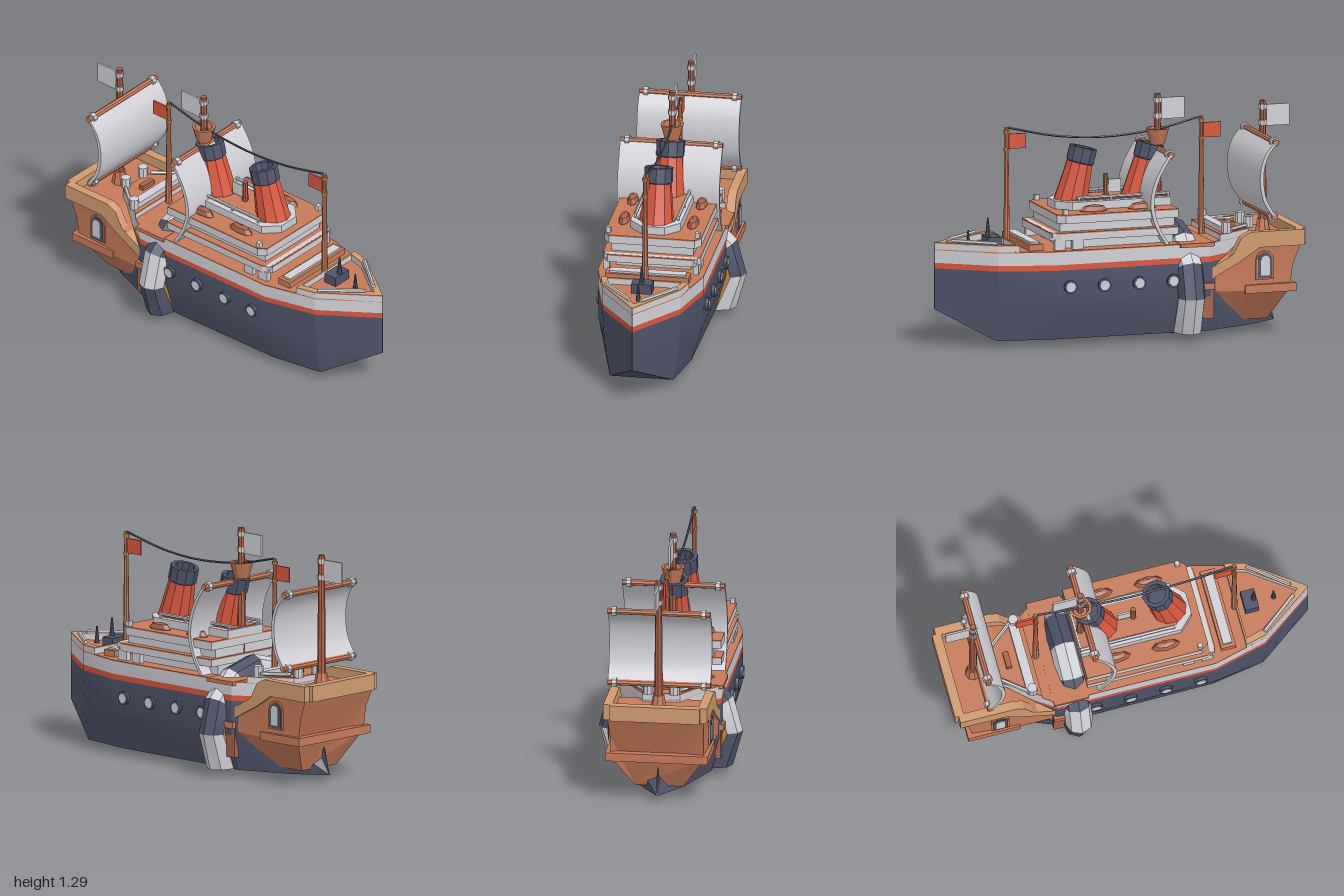
import * as THREE from 'three';
import { toCreasedNormals } from 'three/addons/utils/BufferGeometryUtils.js';

const paint = (name, color) => Object.assign(new THREE.MeshStandardMaterial({ color }), { name });

export function createModel() {
  const model = new THREE.Group();
  model.name = 'ship';
  const navy = paint('navy', 0x50546a), red = paint('red', 0xd8573f), grey = paint('light grey', 0xd0d0d6);
  const brown = paint('deck brown', 0xc67a5a), tan = paint('tan', 0xd09b70), wood = paint('mast brown', 0xa8624a);
  const gold = paint('gold', 0xd6913a);

  // Adds a flat-shaded (or creased) mesh
  function add(name, geo, mat, x = 0, y = 0, z = 0, crease = 0.3) {
    const mesh = new THREE.Mesh(toCreasedNormals(geo, crease), mat);
    mesh.name = name;
    mesh.position.set(x, y, z);
    model.add(mesh);
    return mesh;
  }
  // Box from its size and centre
  const box = (name, mat, w, h, d, x, y, z) => add(name, new THREE.BoxGeometry(w, h, d), mat, x, y, z);
  // Upright post standing on y0
  const post = (name, mat, r0, r1, y0, y1, x, z, sides = 8) =>
    add(name, new THREE.CylinderGeometry(r1, r0, y1 - y0, sides), mat, x, (y0 + y1) / 2, z);
  // Round bar between two points
  function bar(name, mat, a, b, r, sides = 8) {
    const p = new THREE.Vector3(...a), q = new THREE.Vector3(...b), dir = q.clone().sub(p);
    const m = add(name, new THREE.CylinderGeometry(r, r, dir.length(), sides), mat);
    m.position.copy(p).lerp(q, 0.5);
    m.quaternion.setFromUnitVectors(new THREE.Vector3(0, 1, 0), dir.normalize());
    return m;
  }
  // Symmetric plan outline given as [x, z] for one side
  const plan = (half) => [...half, ...half.map(([x, z]) => [-x, z]).reverse()].map(([x, z]) => new THREE.Vector2(x, -z));
  // Upright prism over a plan outline, optionally hollow
  function prism(name, mat, half, y0, y1, hole) {
    const s = new THREE.Shape(plan(half));
    if (hole) s.holes.push(new THREE.Path(plan(hole)));
    const g = new THREE.ExtrudeGeometry(s, { depth: y1 - y0, bevelEnabled: false });
    return add(name, g.rotateX(-Math.PI / 2), mat, 0, y0, 0);
  }
  // Side profile [z, y] extruded along x
  function profile(name, mat, pts, x0, width, crease) {
    const s = new THREE.Shape(pts.map(([z, y]) => new THREE.Vector2(-z, y)));
    const g = new THREE.ExtrudeGeometry(s, { depth: width, bevelEnabled: false });
    return add(name, g.rotateY(Math.PI / 2), mat, x0, 0, 0, crease);
  }
  // Closed skin through mirrored cross-sections, front to back, each listed bottom to top as [x, y, z]
  function loft(name, mat, halves) {
    const rings = halves.map((h) => [...h, ...h.map(([x, y, z]) => [-x, y, z]).reverse()]);
    const n = rings[0].length, v = [];
    for (let i = 0; i + 1 < rings.length; i++) for (let j = 0; j < n; j++) {
      const k = (j + 1) % n, a = rings[i][j], b = rings[i][k], c = rings[i + 1][k], d = rings[i + 1][j];
      v.push(...a, ...d, ...b, ...b, ...d, ...c);
    }
    const end = rings[rings.length - 1];
    for (let j = 1; j + 1 < n; j++) {
      v.push(...rings[0][0], ...rings[0][j], ...rings[0][j + 1], ...end[0], ...end[j + 1], ...end[j]);
    }
    const g = new THREE.BufferGeometry();
    g.setAttribute('position', new THREE.Float32BufferAttribute(v, 3));
    return add(name, g, mat);
  }

  // Main hull: navy body, red stripe, grey sheer, brown deck
  const hullRow = (z, bottom, mid, top, yb, ym, zb = z) => [[bottom, yb, zb], [mid, ym, z], [top, 0.42, z]];
  loft('hull', navy, [
    hullRow(1, 0.002, 0.002, 0.002, 0.2, 0.25), hullRow(0.71, 0.17, 0.2, 0.21, 0.04, 0.24),
    hullRow(0.42, 0.22, 0.28, 0.285, 0.04, 0.24), hullRow(-0.45, 0.23, 0.285, 0.285, 0.04, 0.24),
    hullRow(-0.73, 0.12, 0.15, 0.1, 0.04, 0.2), hullRow(-0.8, 0.004, 0.01, 0.01, 0.04, 0.2, -0.9),
  ]);
  const outline = [[0.002, 1], [0.21, 0.71], [0.285, 0.42], [0.285, -0.45], [0.1, -0.73]];
  prism('hullStripe', red, outline, 0.42, 0.45);
  prism('upperHull', grey, outline, 0.45, 0.518);
  prism('mainDeck', brown, outline, 0.518, 0.524);
  const bow = [[0.002, 1], [0.21, 0.71], [0.238, 0.6]], bowInner = [[0.002, 0.94], [0.175, 0.7], [0.2, 0.61]];
  prism('bowBulwark', grey, bow, 0.52, 0.553, bowInner);
  prism('bowRim', tan, bow, 0.553, 0.56, bowInner);
  const stern = [[0.24, -0.52], [0.1, -0.73]];
  prism('sternBulwark', grey, stern, 0.52, 0.55);
  prism('sternDeck', brown, stern, 0.55, 0.557);

  // Portholes
  for (const s of [-1, 1]) for (const z of [0.335, 0.145, -0.05, -0.24]) {
    add('portholeRim', new THREE.CylinderGeometry(0.036, 0.036, 0.03, 12).rotateZ(Math.PI / 2), navy, s * 0.285, 0.33, z);
    add('portholeGlass', new THREE.CylinderGeometry(0.026, 0.026, 0.008, 12).rotateZ(Math.PI / 2), grey, s * 0.298, 0.33, z);
  }

  // Keel plates and drain plug
  box('keelPlate', red, 0.26, 0.008, 0.62, 0, 0.038, -0.335);
  for (const z of [-0.12, -0.55]) box('keelPatch', wood, 0.14, 0.008, 0.12, 0, 0.035, z);
  post('plug', red, 0.05, 0.058, 0.012, 0.045, 0, -0.335, 12);
  post('plugTip', navy, 0.035, 0.05, 0, 0.012, 0, -0.335, 12);

  // Striped ring around the hull, cut flat at the keel
  const ring = new THREE.TorusGeometry(0.31, 0.075, 8, 8, Math.PI * 4 / 3).rotateZ(-Math.PI / 6);
  const p = ring.attributes.position;
  for (let j = 0; j <= 8; j++) for (const i of [0, 8]) {
    const k = j * 9 + i, drop = p.getY(k) + 0.195;
    p.setXY(k, p.getX(k) - Math.sign(p.getX(k)) * drop, -0.195);
  }
  const ringFlat = ring.toNonIndexed();
  ringFlat.clearGroups();
  for (let j = 0; j < 8; j++) for (let i = 0; i < 8; i++) {
    ringFlat.addGroup((j * 8 + i) * 6, 6, j >= 2 && j <= 5 ? 2 : i % 2);
  }
  add('ring', ringFlat, [grey, navy, gold], 0, 0.235, -0.338);
  for (const s of [-1, 1]) {
    add('ringEnd', new THREE.CircleGeometry(1, 8).scale(0.103, 0.075, 1).rotateX(Math.PI / 2), s > 0 ? grey : navy, s * 0.23, 0.039, -0.338);
  }

  // Wooden stern castle
  loft('sternCastle', brown, [
    [[0.2, 0.13, -0.46], [0.27, 0.26, -0.46], [0.27, 0.31, -0.46], [0.272, 0.36, -0.46]],
    [[0.17, 0.09, -0.56], [0.265, 0.25, -0.56], [0.262, 0.37, -0.56], [0.272, 0.44, -0.56]],
    [[0.15, 0.075, -0.66], [0.265, 0.25, -0.66], [0.262, 0.38, -0.66], [0.272, 0.51, -0.68]],
    [[0.13, 0.07, -0.82], [0.25, 0.25, -0.905], [0.25, 0.38, -0.925], [0.26, 0.51, -0.975]],
  ]);
  box('castleLedge', brown, 0.55, 0.045, 0.285, 0, 0.257, -0.793);
  box('castleRearRim', tan, 0.48, 0.085, 0.05, 0, 0.5225, -0.975);
  for (const s of [-1, 1]) {
    profile('castleSideRim', tan, [[-0.68, 0.565], [-0.98, 0.565], [-0.98, 0.48], [-0.73, 0.48], [-0.62, 0.41],
      [-0.45, 0.32], [-0.45, 0.38], [-0.58, 0.45], [-0.63, 0.54]], s > 0 ? 0.23 : -0.278, 0.048);
    box('castleFrontPanel', wood, 0.03, 0.17, 0.06, s * 0.268, 0.2, -0.44);
    box('castleFrontLedge', brown, 0.03, 0.035, 0.07, s * 0.285, 0.29, -0.435);
    // Arched window as stacked thin plates
    [[0.05, 0.305, brown], [0.041, 0.312, navy], [0.025, 0.328, grey]].forEach(([w, y0, mat], i) => {
      const pts = [[-0.76 + w, y0]];
      for (let k = 0; k <= 6; k++) {
        const a = (k / 6) * Math.PI;
        pts.push([-0.76 + w * Math.cos(a), 0.41 + w * Math.sin(a)]);
      }
      pts.push([-0.76 - w, y0]);
      profile('castleWindow', mat, pts, s > 0 ? 0.264 + i * 0.004 : -0.273 - i * 0.004, 0.009);
    });
  }

  // Superstructure tiers
  prism('lowerCabin', grey, [[0.2, 0.34], [0.2, -0.27]], 0.52, 0.58);
  prism('lowerRoof', grey, [[0.23, 0.43], [0.262, 0.38], [0.262, -0.28]], 0.575, 0.61);
  prism('lowerRoofDeck', brown, [[0.23, 0.43], [0.262, 0.38], [0.262, -0.28]], 0.61, 0.617);
  prism('middleCabin', grey, [[0.22, 0.37], [0.22, -0.27]], 0.615, 0.67);
  prism('middleRoof', grey, [[0.23, 0.39], [0.26, 0.35], [0.26, -0.28]], 0.665, 0.705);
  prism('middleRoofDeck', brown, [[0.23, 0.39], [0.26, 0.35], [0.26, -0.28]], 0.705, 0.712);
  const house = [[0.06, 0.345], [0.135, 0.27], [0.135, -0.28]], houseTop = [[0.045, 0.3], [0.1, 0.25], [0.1, -0.27]];
  prism('wheelhouse', grey, house, 0.71, 0.755);
  prism('wheelhouseDeck', brown, houseTop, 0.755, 0.76);
  box('frontRail', grey, 0.5, 0.025, 0.025, 0, 0.605, 0.41);
  for (const s of [-1, 1]) {
    bar('wheelhouseRail', grey, [s * 0.115, 0.775, 0.24], [s * 0.115, 0.775, -0.28], 0.009, 6);
    for (const z of [0.23, 0.05, -0.13, -0.27]) post('railPost', grey, 0.008, 0.008, 0.75, 0.775, s * 0.115, z, 6);
    for (const z of [0.38, 0.28]) box('porchPost', grey, 0.03, 0.06, 0.06, s * 0.24, 0.55, z);
    box('cornerPost', grey, 0.025, 0.07, 0.025, s * 0.24, 0.705, 0.345);
    // Lifeboats
    for (const z of [0.17, -0.1]) {
      add('lifeboat', new THREE.SphereGeometry(1, 8, 4).scale(0.03, 0.035, 0.078), wood, s * 0.185, 0.715, z);
    }
    // Bow and stern rails
    bar('bowRail', grey, [s * 0.03, 0.567, 0.91], [s * 0.19, 0.567, 0.71], 0.011, 6);
    bar('sternRail', grey, [s * 0.1, 0.572, -0.71], [s * 0.205, 0.572, -0.58], 0.011, 6);
    post('sternBollard', grey, 0.027, 0.027, 0.555, 0.615, s * 0.07, -0.735);
    post('sternBollard', grey, 0.027, 0.027, 0.555, 0.615, s * 0.2, -0.565);
  }

  // Deck fittings
  box('foreHatch', brown, 0.45, 0.035, 0.08, 0, 0.54, 0.505);
  box('foreHatchCover', grey, 0.41, 0.012, 0.05, 0, 0.562, 0.505);
  box('sternBench', grey, 0.42, 0.03, 0.05, 0, 0.57, -0.57);
  box('sternHatch', wood, 0.09, 0.03, 0.03, 0, 0.57, -0.65);
  box('bowWinch', navy, 0.11, 0.055, 0.075, 0, 0.55, 0.68);
  post('bowSpike', navy, 0.016, 0.004, 0.56, 0.675, 0, 0.7);
  post('bowSpike', navy, 0.014, 0.004, 0.52, 0.615, 0, 0.81);
  post('signalPost', wood, 0.017, 0.014, 0.75, 0.875, 0, 0.04);
  box('signalBoard', grey, 0.01, 0.07, 0.07, 0, 0.81, -0.01);
  prism('deckEdge', brown, [[0.298, -0.28], [0.298, -0.47]], 0.505, 0.526);

  // Raked funnels
  const lathe = (pts) => new THREE.LatheGeometry(pts.map(([r, y]) => new THREE.Vector2(r, y)), 10);
  for (const z of [0.235, -0.14]) {
    const f = add('funnel', lathe([[0.098, -0.03], [0.09, 0.02], [0.071, 0.21]]), red, 0, 0.745, z);
    const c = add('funnelCap', lathe([[0.071, 0.205], [0.077, 0.21], [0.077, 0.29], [0.055, 0.29], [0.055, 0.23], [0, 0.23]]), navy, 0, 0.745, z);
    f.rotation.x = c.rotation.x = -0.245;
  }

  // Signal masts with red pennants and the sagging line between them
  for (const z of [0.595, -0.495]) {
    post('signalMast', brown, 0.018, 0.01, 0.52, 1.155, 0, z);
    for (const y of [1.03, 1.125]) post('signalMastBand', gold, 0.016, 0.016, y, y + 0.015, 0, z);
    box('pennant', red, 0.01, 0.08, 0.095, 0, 1.08, z - 0.06);
  }
  const line = new THREE.CatmullRomCurve3([[1.155, 0.59], [1.095, 0.32], [1.075, 0.05], [1.1, -0.25], [1.155, -0.49]]
    .map(([y, z]) => new THREE.Vector3(0, y, z)));
  add('signalLine', new THREE.TubeGeometry(line, 16, 0.006, 5), navy);

  // Sailing masts with flags
  for (const [z, y0, y1] of [[-0.25, 0.52, 1.29], [-0.838, 0.5, 1.22]]) {
    post('sailMast', wood, 0.024, 0.017, y0, y1, 0, z);
    for (const y of [y1 - 0.045, y1 - 0.13]) post('flagBand', grey, 0.024, 0.024, y, y + 0.025, 0, z);
    box('flag', grey, 0.01, 0.115, 0.13, 0, y1 - 0.08, z - 0.085);
  }
  post('mastFoot', brown, 0.045, 0.03, 0.5, 0.585, 0, -0.838);
  add('crowsNest', lathe([[0, 1.02], [0.04, 1.02], [0.063, 1.105], [0.048, 1.105], [0.036, 1.06], [0, 1.06]]), brown, 0, 0, -0.25);

  // Billowing sails
  function sail(pts) {
    const curve = new THREE.SplineCurve(pts.map(([z, y]) => new THREE.Vector2(z, y)));
    const front = curve.getPoints(14).map((v) => [v.x, v.y]);
    profile('sail', grey, [...front, ...front.map(([z, y]) => [z - 0.02, y]).reverse()], -0.275, 0.55, 0.6);
  }
  sail([[-0.22, 1.0], [-0.15, 0.88], [-0.12, 0.75], [-0.145, 0.63], [-0.205, 0.525]]);
  sail([[-0.81, 1.035], [-0.755, 0.96], [-0.732, 0.85], [-0.75, 0.73], [-0.805, 0.64]]);
  for (const [y, z] of [[1.002, -0.235], [1.037, -0.822], [0.637, -0.815]]) {
    bar('yard', brown, [-0.275, y, z], [0.275, y, z], 0.017);
    for (const s of [-1, 1]) bar('yardRing', grey, [s * 0.227, y, z], [s * 0.252, y, z], 0.026);
  }
  return model;
}
